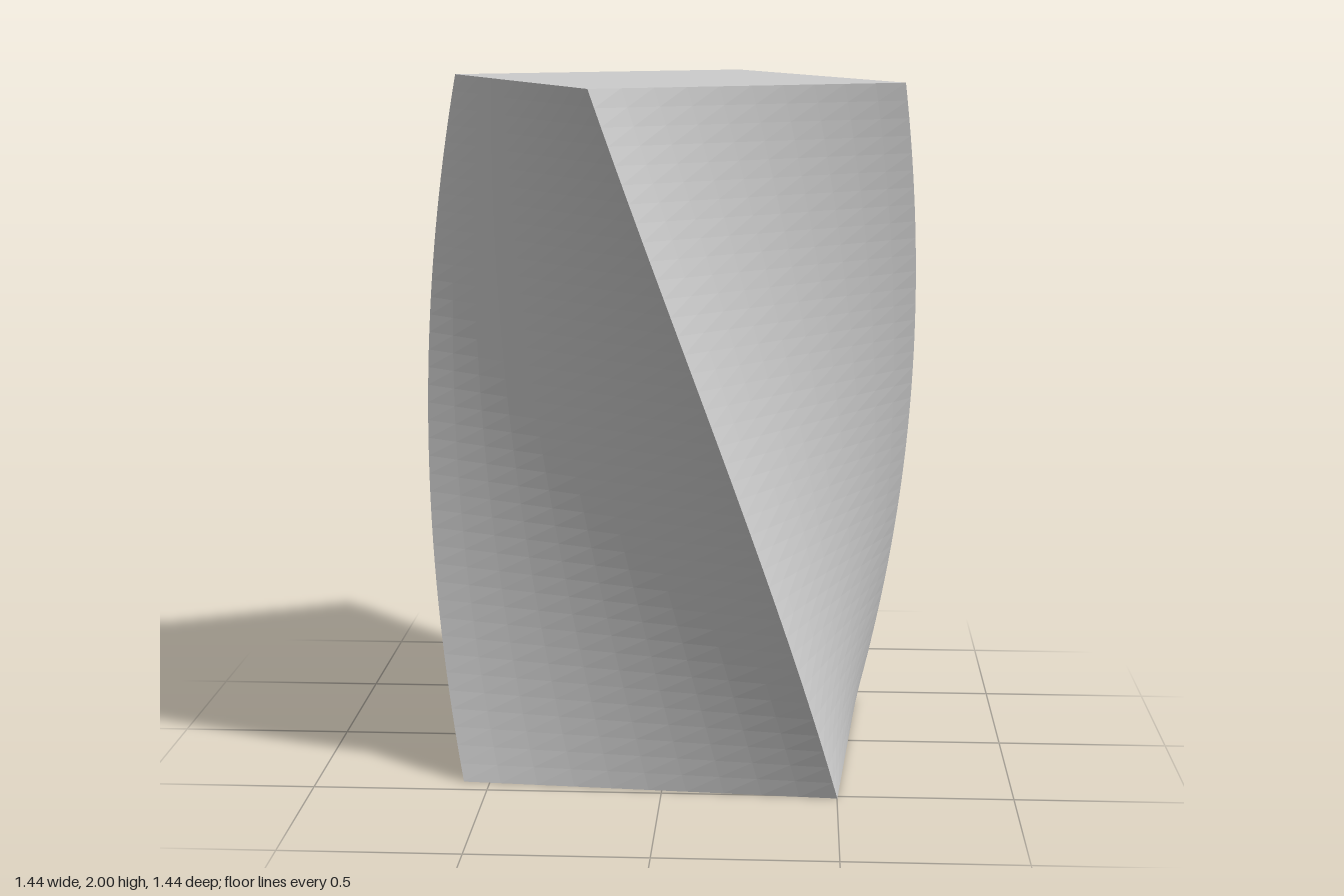
import * as THREE from 'three';

const WIDTH = 1.08, DEPTH = 0.953, HEIGHT = 2;
const START = THREE.MathUtils.degToRad(4.5);
const TWIST = THREE.MathUtils.degToRad(58.6);

export function createModel() {
  const group = new THREE.Group();
  group.name = 'twistedBlock';

  // Rectangular block, finely divided and turned evenly about y as it rises
  const geometry = new THREE.BoxGeometry(WIDTH, HEIGHT, DEPTH, 10, 40, 10);
  geometry.translate(0, HEIGHT / 2, 0);
  const axis = new THREE.Vector3(0, 1, 0);
  const position = geometry.attributes.position;
  const point = new THREE.Vector3();
  for (let i = 0; i < position.count; i++) {
    point.fromBufferAttribute(position, i);
    point.applyAxisAngle(axis, -(START + TWIST * point.y / HEIGHT));
    position.setXYZ(i, point.x, point.y, point.z);
  }
  geometry.computeVertexNormals();

  const material = new THREE.MeshStandardMaterial({ color: 0xcccccc, flatShading: true });
  const tower = new THREE.Mesh(geometry, material);
  tower.name = 'twistedTower';
  group.add(tower);
  return group;
}
